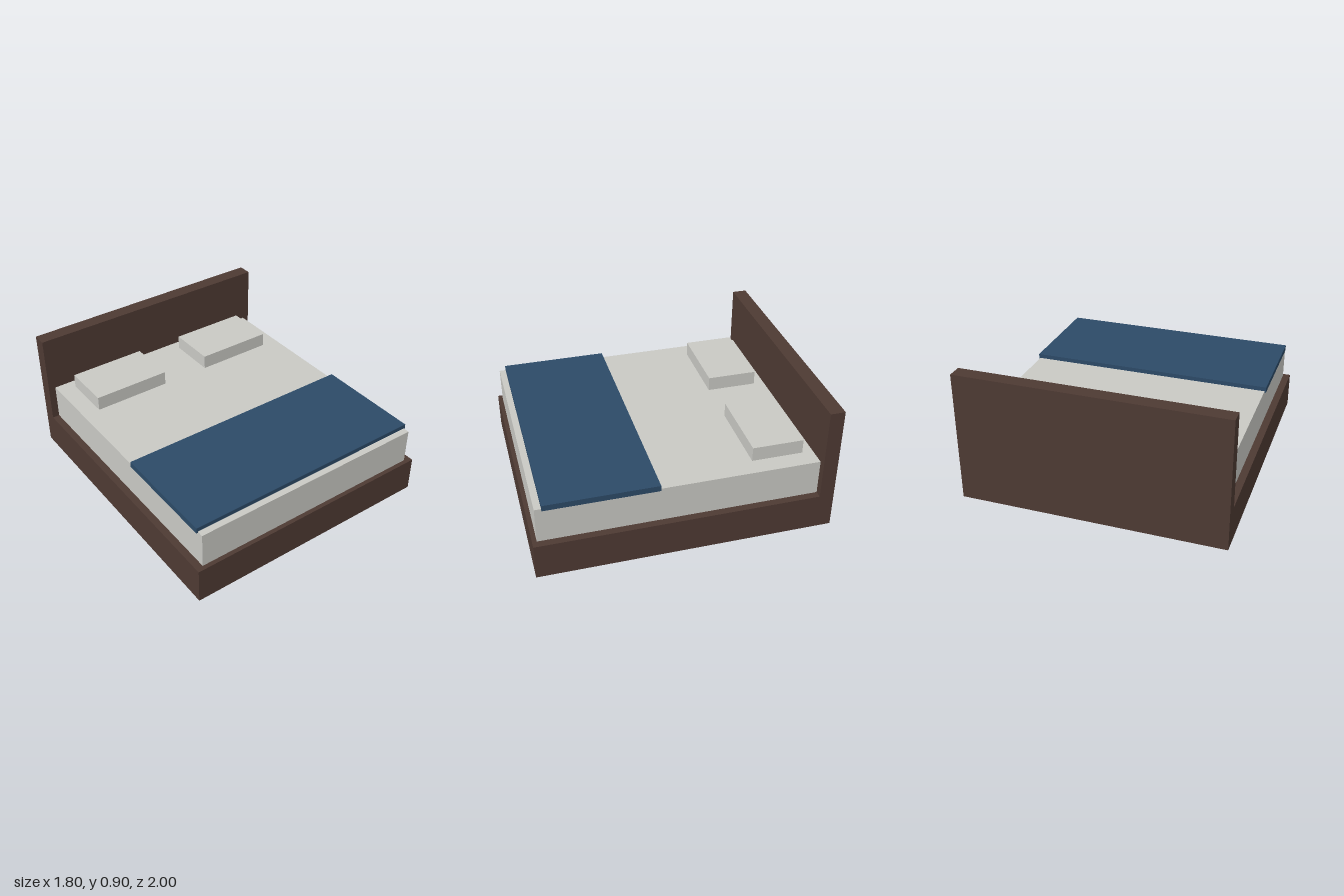
import * as THREE from 'three';

const material = (name, color) => {
  const m = new THREE.MeshStandardMaterial({ color });
  m.name = name;
  return m;
};

export function createModel() {
  const wood = material('dark wood', 0x4e3a33);
  const linen = material('pale linen', 0xc9c9c4);
  const blue = material('blue cloth', 0x2c4a67);

  const bed = new THREE.Group();
  bed.name = 'bed';

  // Box given by its lower and upper limits on each axis
  const addBox = (name, mat, [x0, x1], [y0, y1], [z0, z1]) => {
    const mesh = new THREE.Mesh(new THREE.BoxGeometry(x1 - x0, y1 - y0, z1 - z0), mat);
    mesh.position.set((x0 + x1) / 2, (y0 + y1) / 2, (z0 + z1) / 2);
    mesh.name = name;
    bed.add(mesh);
  };

  // Frame
  addBox('base', wood, [-0.9, 0.9], [0, 0.25], [-0.9, 1]);
  addBox('headboard', wood, [-0.9, 0.9], [0, 0.9], [-1, -0.9]);

  // Bedding
  addBox('mattress', linen, [-0.85, 0.85], [0.25, 0.5], [-0.9, 0.97]);
  addBox('blanket', blue, [-0.86, 0.86], [0.49, 0.53], [0.175, 0.925]);

  // Pair of pillows
  for (const [name, x] of [['leftPillow', 0.45], ['rightPillow', -0.45]]) {
    addBox(name, linen, [x - 0.275, x + 0.275], [0.5, 0.6], [-0.825, -0.475]);
  }

  return bed;
}
